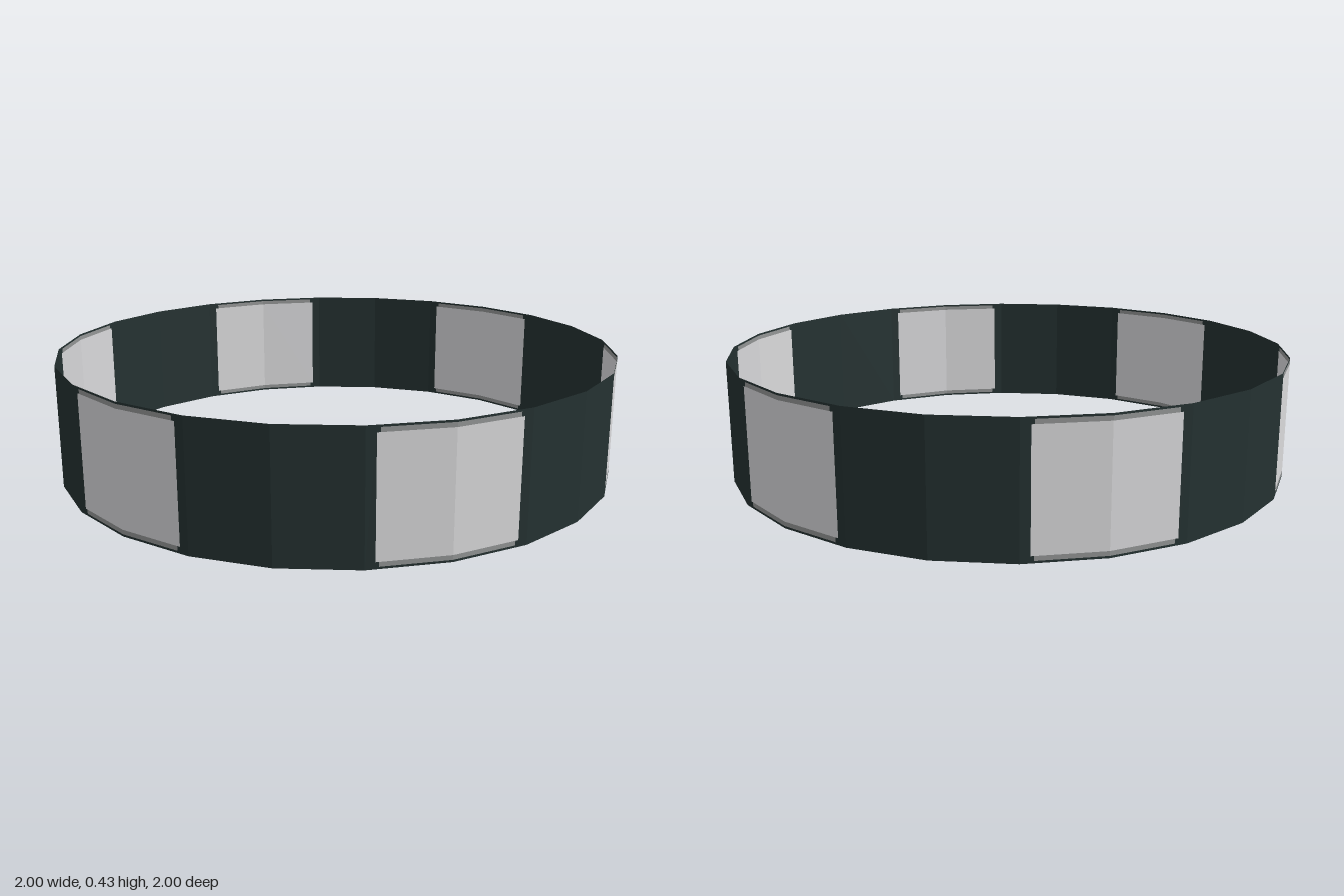
import * as THREE from 'three';

const SIDES = 24, STEP = 360 / SIDES, OFFSET = 8.8, RADIUS = 1.0058, HEIGHT = 0.43;
const PANELS = 6, HALF_PANEL = 13.2;
const EDGE = 0.007, TRIM = 0.022; // dark rim and grey trim heights

// Point on the 24-sided ring at an angle in degrees, 0 = front, 90 = +x
function ringPoint(angle, y) {
  const local = THREE.MathUtils.euclideanModulo(angle - OFFSET, STEP) - STEP / 2;
  const rad = THREE.MathUtils.degToRad;
  const r = RADIUS * Math.cos(rad(STEP / 2)) / Math.cos(rad(local));
  return [r * Math.sin(rad(angle)), y, r * Math.cos(rad(angle))];
}

// Surface patch that bends only at the ring's corners
function patch(positions, from, to, y0, y1) {
  const stops = [from];
  for (let k = Math.ceil((from - OFFSET) / STEP); OFFSET + k * STEP < to - 0.01; k++) {
    if (OFFSET + k * STEP > from + 0.01) stops.push(OFFSET + k * STEP);
  }
  stops.push(to);
  for (let i = 0; i < stops.length - 1; i++) {
    const a = ringPoint(stops[i], y0), b = ringPoint(stops[i + 1], y0);
    const c = ringPoint(stops[i + 1], y1), d = ringPoint(stops[i], y1);
    positions.push(...a, ...b, ...c, ...a, ...c, ...d);
  }
}

function material(name, color) {
  const m = new THREE.MeshStandardMaterial({ color, side: THREE.DoubleSide, flatShading: true });
  m.name = name;
  return m;
}

export function createModel() {
  const group = new THREE.Group();
  group.name = 'ringBand';
  const dark = material('darkGreen', 0x243131);
  const light = material('lightGrey', 0xd9d9db);
  const grey = material('trimGrey', 0x939595);

  function addMesh(name, mat, fill) {
    const positions = [];
    fill(positions);
    const geometry = new THREE.BufferGeometry();
    geometry.setAttribute('position', new THREE.Float32BufferAttribute(positions, 3));
    geometry.computeVertexNormals();
    const mesh = new THREE.Mesh(geometry, mat);
    mesh.name = name;
    group.add(mesh);
  }

  const spacing = 360 / PANELS, inset = 0.6;
  for (let i = 0; i < PANELS; i++) {
    const centre = OFFSET + i * spacing;
    const a = centre - HALF_PANEL, b = centre + HALF_PANEL;

    // Dark band between panels, with the thin rims around each panel
    addMesh('darkBand', dark, (p) => {
      patch(p, b, a + spacing, 0, HEIGHT);
      patch(p, a, b, 0, EDGE);
      patch(p, a, b, HEIGHT - EDGE, HEIGHT);
      for (const [y0, y1] of [[EDGE, TRIM], [HEIGHT - TRIM, HEIGHT - EDGE]]) {
        patch(p, a, a + inset, y0, y1);
        patch(p, b - inset, b, y0, y1);
      }
    });

    // Light panel
    addMesh('lightPanel', light, (p) => patch(p, a, b, TRIM, HEIGHT - TRIM));

    // Grey trim along the panel's top and bottom
    addMesh('panelTrim', grey, (p) => {
      patch(p, a + inset, b - inset, EDGE, TRIM);
      patch(p, a + inset, b - inset, HEIGHT - TRIM, HEIGHT - EDGE);
    });
  }
  return group;
}
